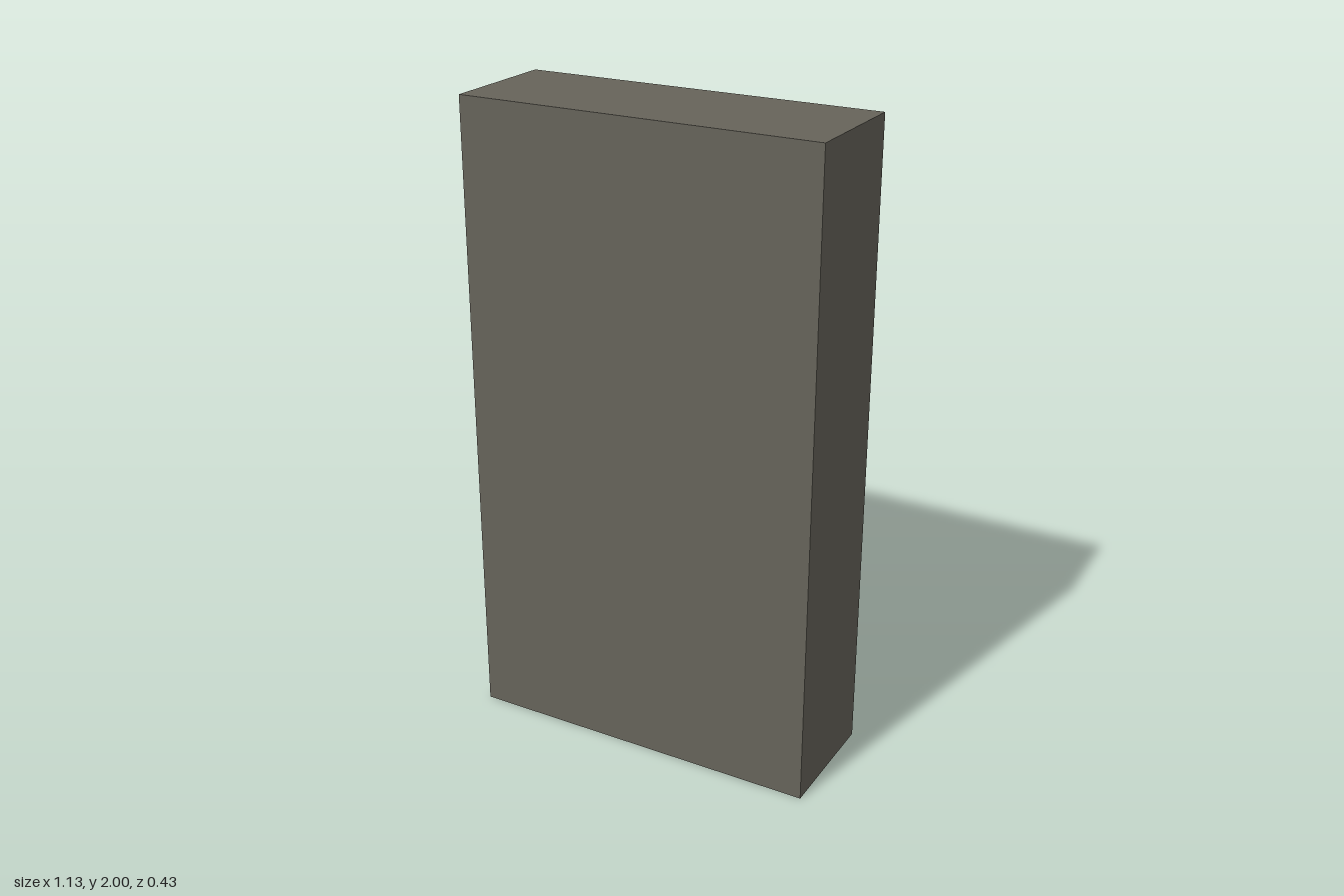
import * as THREE from 'three';

const BACK = -0.174; // plane of the carcass that carries the doors

export function createModel() {
  const paint = new THREE.MeshStandardMaterial({ color: 0x66635a });
  paint.name = 'olive grey paint';
  const pane = new THREE.MeshStandardMaterial({ color: 0xcccccc });
  pane.name = 'pale glass';

  const cabinet = new THREE.Group();
  cabinet.name = 'cabinet';

  const add = (parent, name, geometry, material, x, y, z) => {
    const mesh = new THREE.Mesh(geometry, material);
    mesh.name = name;
    mesh.position.set(x, y, z);
    parent.add(mesh);
    return mesh;
  };

  // Carcass
  add(cabinet, 'carcass', new THREE.BoxGeometry(1.13, 2, 0.388), paint, 0, 1, 0.02);

  // Rectangle outline used for door frames and their openings
  const rect = (path, x0, x1, y0, y1) => {
    path.moveTo(x0, y0);
    path.lineTo(x1, y0);
    path.lineTo(x1, y1);
    path.lineTo(x0, y1);
    path.closePath();
    return path;
  };

  // Oval mounting plate lying on the door, with a softened rim
  const ovalPlate = (parent, name, x, y, w, h, depth) => {
    const oval = new THREE.Shape().absellipse(0, 0, w / 2, h / 2, 0, Math.PI * 2);
    const geometry = new THREE.ExtrudeGeometry(oval, {
      depth, curveSegments: 12, bevelThickness: 0.002, bevelSize: 0.002, bevelOffset: -0.002, bevelSegments: 1,
    });
    geometry.rotateY(Math.PI);
    add(parent, name, geometry, paint, x, y, BACK - 0.004);
  };

  for (const side of [1, -1]) {
    const door = new THREE.Group();
    door.name = side > 0 ? 'leftDoor' : 'rightDoor';
    cabinet.add(door);

    // Door frame with a glazed opening
    const outline = rect(new THREE.Shape(), side * 0.003, side * 0.53, 0.155, 1.945);
    outline.holes.push(rect(new THREE.Path(), side * 0.065, side * 0.475, 0.208, 1.88));
    const frame = new THREE.ExtrudeGeometry(outline, { depth: 0.005, bevelEnabled: false });
    add(door, 'doorFrame', frame, paint, 0, 0, BACK - 0.005);

    // Glass
    add(door, 'glassPane', new THREE.BoxGeometry(0.41, 1.672, 0.003), pane, side * 0.27, 1.044, BACK - 0.0015);

    // Hinges: slim faceted knuckle with a leaf
    for (const y of [1.8, 1.135, 0.312]) {
      add(door, 'hingeKnuckle', new THREE.CylinderGeometry(0.007, 0.007, 0.128, 4).toNonIndexed(),
        paint, side * 0.533, y, -0.189);
      add(door, 'hingeLeaf', new THREE.BoxGeometry(0.004, 0.124, 0.016), paint, side * 0.533, y, -0.181);
    }

    // Pull handle on two oval plates
    const x = side * 0.03;
    const points = [[1.07, BACK], [1.07, -0.202], [1.064, -0.208], [0.946, -0.208], [0.94, -0.202], [0.94, BACK]]
      .map(([y, z]) => new THREE.Vector3(x, y, z));
    const path = new THREE.CurvePath();
    for (let i = 0; i < points.length - 1; i++) path.add(new THREE.LineCurve3(points[i], points[i + 1]));
    add(door, 'handle', new THREE.TubeGeometry(path, 60, 0.006, 8), paint, 0, 0, 0);
    for (const y of [1.075, 0.935]) ovalPlate(door, 'handlePlate', x, y, 0.028, 0.055, 0.004);
  }

  // Lock below the handle of one door
  ovalPlate(cabinet, 'lockPlate', -0.028, 0.815, 0.036, 0.075, 0.005);
  const barrel = add(cabinet, 'lockBarrel', new THREE.CylinderGeometry(0.01, 0.01, 0.012, 16), paint, -0.028, 0.822, -0.184);
  barrel.rotation.x = Math.PI / 2;

  return cabinet;
}
